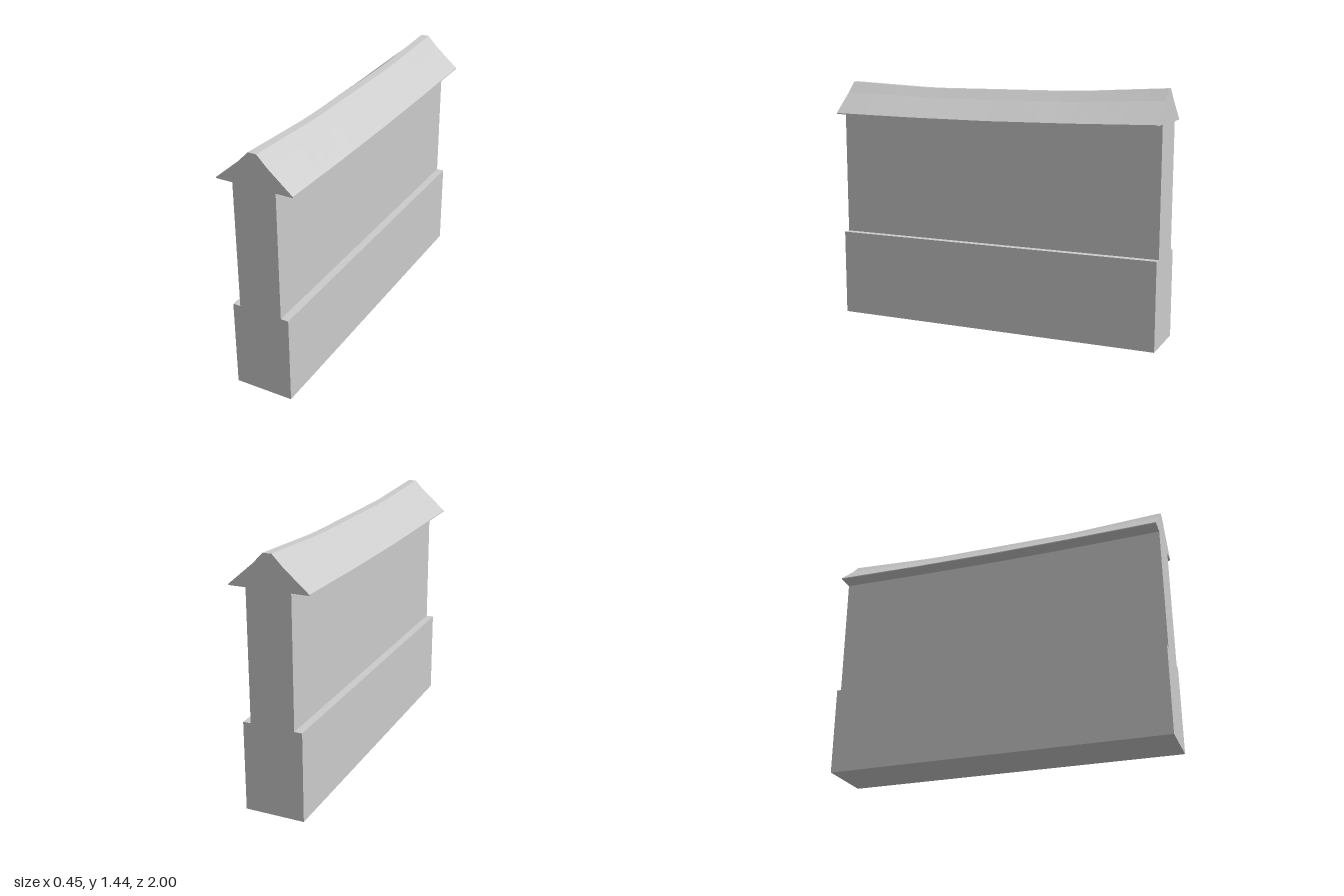
import * as THREE from 'three';

const material = new THREE.MeshStandardMaterial({ color: 0xcccccc, flatShading: true });
const RIDGE_Y = 1.443, EAVE_Y = 1.255;

// How far the roof dips at z: the ridge levels out early, the eaves keep falling to the middle
function sag(y, z) {
  const inward = 1 - Math.abs(z);
  const ridge = 0.028 * Math.min(1, inward / 0.55);
  const eave = 0.009 * Math.min(1, inward / 0.5) + 0.004 * Math.max(0, inward - 0.5) * 2;
  const t = THREE.MathUtils.clamp((y - EAVE_Y) / (RIDGE_Y - EAVE_Y), 0, 1);
  return THREE.MathUtils.lerp(eave, ridge, t);
}

// Mirrors a right-hand outline (bottom to top), runs it along z and lets the upper part sag
function strip(name, half) {
  const mirrored = half.map(([x, y]) => [-x, y]).reverse();
  const shape = new THREE.Shape([...half, ...mirrored].map(([x, y]) => new THREE.Vector2(x, y)));
  const geometry = new THREE.ExtrudeGeometry(shape, { depth: 2, steps: 20, bevelEnabled: false });
  geometry.translate(0, 0, -1);
  const p = geometry.attributes.position;
  for (let i = 0; i < p.count; i++) {
    const y = p.getY(i);
    if (y > 1.2) p.setY(i, y - sag(y, p.getZ(i)));
  }
  geometry.computeVertexNormals();
  const mesh = new THREE.Mesh(geometry, material);
  mesh.name = name;
  return mesh;
}

export function createModel() {
  const group = new THREE.Group();
  group.name = 'roofedWall';
  group.add(
    // Stepped wall: wide plinth, narrower upper wall
    strip('wall', [[0.172, 0], [0.172, 0.515], [0.127, 0.515], [0.127, EAVE_Y]]),
    // Coping roof with slightly curved slopes and a narrow flat ridge
    strip('roof', [[0.225, EAVE_Y], [0.225, 1.261], [0.085, 1.381], [0.024, RIDGE_Y]])
  );
  return group;
}
